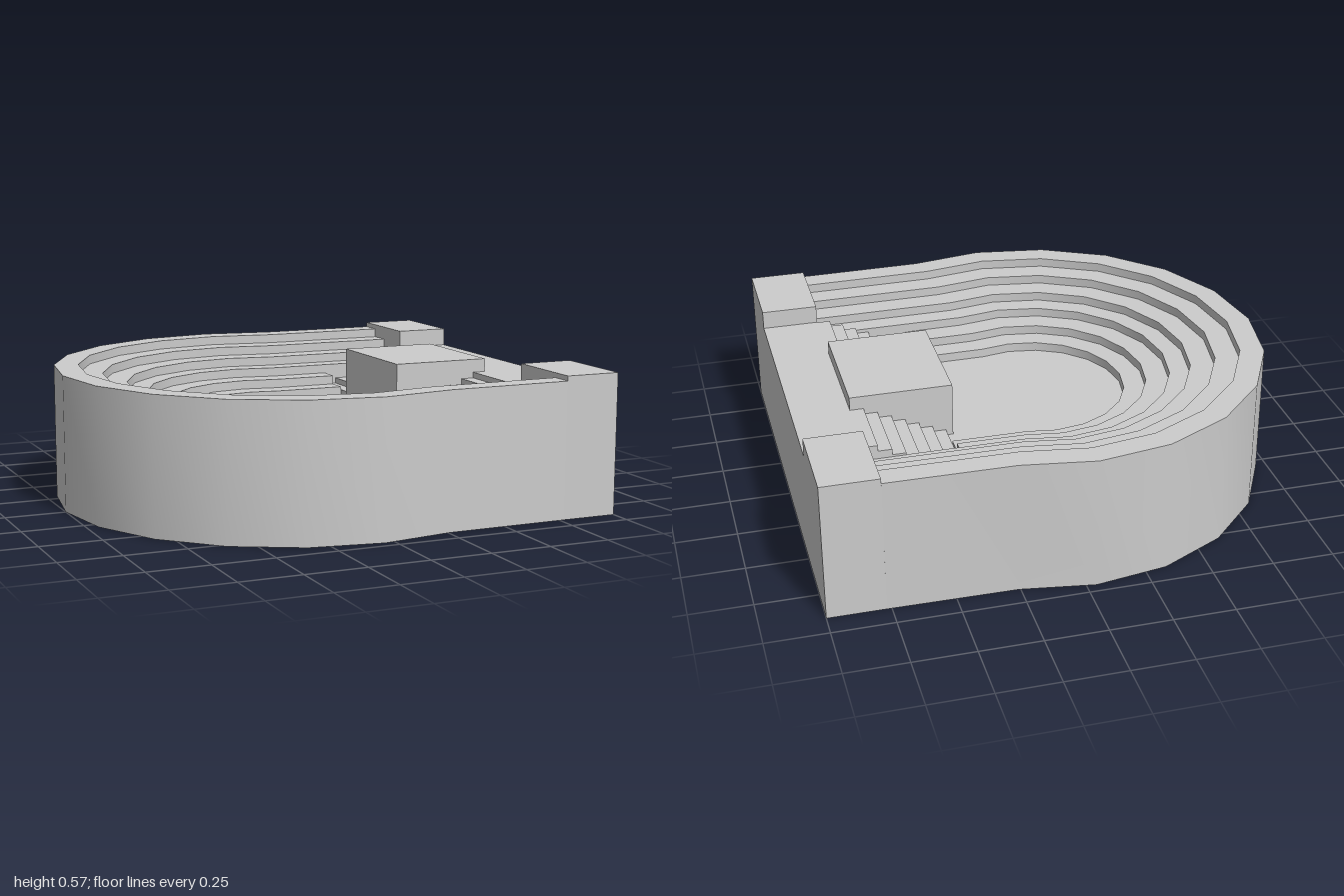
import * as THREE from 'three';
import { toCreasedNormals } from 'three/addons/utils/BufferGeometryUtils.js';

const CENTRE = -0.04;   // x of the centre of the curved seating
const STAGE_X = 0.77;   // where the seating meets the back wall
const STAIR_X = 0.385;  // foot of the stairs
const FLOOR = 0.33, RIM = 0.555, WALL = 0.5;

// U-shaped outline: 20-sided arc that runs on into two straight arms ending at endX
function outline(r, endX) {
  const pts = [];
  for (let i = -6; i <= 6; i++) {
    const a = i * Math.PI / 10;
    pts.push(new THREE.Vector2(CENTRE - r * Math.cos(a), r * Math.sin(a)));
  }
  const z = r * 0.945;
  return [new THREE.Vector2(endX, -z), ...pts, new THREE.Vector2(endX, z)];
}

export function createModel() {
  const model = new THREE.Group();
  const material = new THREE.MeshStandardMaterial({ color: 0xcccccc });

  const add = (name, geometry) => {
    const mesh = new THREE.Mesh(geometry, material);
    mesh.name = name;
    model.add(mesh);
    return mesh;
  };
  // Upright prism standing on the ground
  const prism = (name, points, height) => {
    const g = new THREE.ExtrudeGeometry(new THREE.Shape(points), { depth: height, bevelEnabled: false });
    g.rotateX(-Math.PI / 2);
    add(name, toCreasedNormals(g, 0.6));
  };
  // Box given by its x, y and z limits
  const block = (name, x0, x1, y0, y1, z0, z1) => {
    const g = new THREE.BoxGeometry(x1 - x0, y1 - y0, z1 - z0);
    add(name, g).position.set((x0 + x1) / 2, (y0 + y1) / 2, (z0 + z1) / 2);
  };

  // Outer wall and stepped seating, from the rim inwards
  const radii = [0.96, 0.86, 0.76, 0.66, 0.575, 0.478, 0.387];
  const rise = (RIM - FLOOR) / 6;
  for (let i = 0; i < 6; i++) {
    const endX = i < 4 ? STAGE_X : STAIR_X;
    const ring = [...outline(radii[i], endX), ...outline(radii[i + 1], endX).reverse()];
    prism(i === 0 ? 'outerWall' : 'seatingTier' + i, ring, RIM - i * rise);
  }

  // Arena floor
  prism('arenaFloor', outline(radii[6], STAIR_X), FLOOR);

  // Stairs on both sides of the stage
  const steps = 7, going = (STAGE_X - STAIR_X) / steps;
  const profile = [new THREE.Vector2(STAIR_X, 0), new THREE.Vector2(STAGE_X, 0)];
  for (let i = steps; i >= 1; i--) {
    const y = FLOOR + (WALL - FLOOR) * i / steps;
    profile.push(new THREE.Vector2(STAIR_X + i * going, y), new THREE.Vector2(STAIR_X + (i - 1) * going, y));
  }
  for (const [name, z] of [['leftStairs', 0.25], ['rightStairs', -0.547]]) {
    const g = new THREE.ExtrudeGeometry(new THREE.Shape(profile), { depth: 0.297, bevelEnabled: false });
    add(name, g).position.z = z;
  }

  // Raised stage, back wall and the two corner towers
  block('stage', 0.355, STAGE_X, 0, RIM, -0.25, 0.25);
  block('backWall', STAGE_X, 1, 0, WALL, -0.55, 0.55);
  block('cornerTowerFront', STAGE_X, 1, 0, 0.575, 0.55, 0.907);
  block('cornerTowerBack', STAGE_X, 1, 0, 0.575, -0.907, -0.55);

  return model;
}
